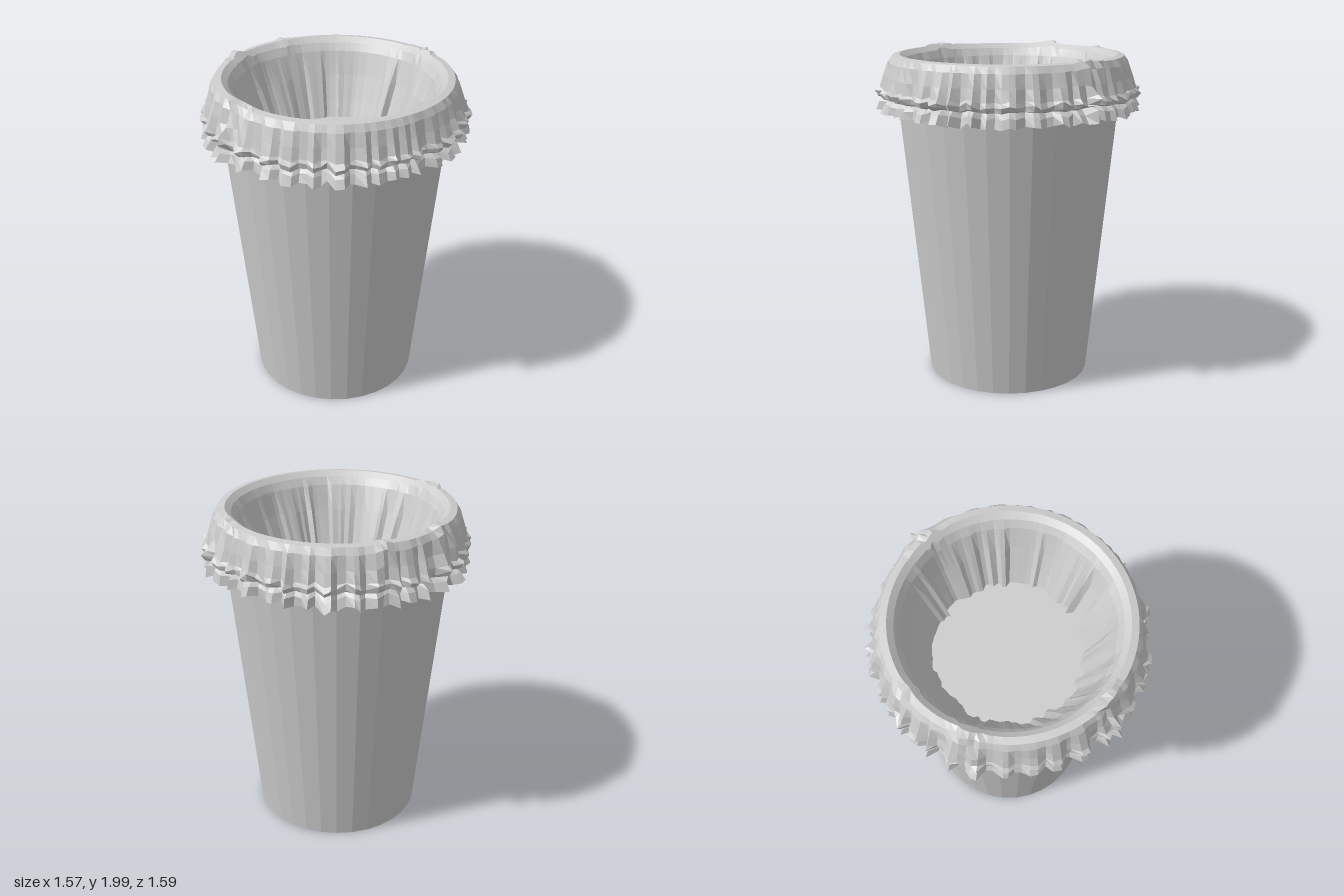
import * as THREE from 'three';

const COLS = 120;

// Small seeded generator for the irregular folds
function seeded(seed) {
  let s = seed;
  return () => {
    s = (s * 16807) % 2147483647;
    return s / 2147483647;
  };
}

// Liner cross-section: radius, height, ruffle size, tuck size (inner pleats), height jitter
const PROFILE = [
  [0.430, 1.51, 0, 0.034, 0],
  [0.475, 1.62, 0, 0.036, 0],
  [0.530, 1.76, 0, 0.030, 0],
  [0.582, 1.90, 0, 0.008, 0],
  [0.610, 1.945, 0, 0, 0],
  [0.645, 1.974, 0, 0, 0],
  [0.685, 1.968, 0, 0, 0],
  [0.708, 1.93, 0.005, 0, 0],
  [0.728, 1.85, 0.013, 0, 0.003],
  [0.745, 1.785, 0.018, 0, 0.012],
  [0.762, 1.765, 0.024, 0, 0.025],
  [0.750, 1.735, 0.022, 0, 0.015],
  [0.715, 1.725, 0.014, 0, 0.008],
  [0.740, 1.700, 0.022, 0, 0.014],
  [0.757, 1.650, 0.028, 0, 0.022],
  [0.705, 1.670, 0.014, 0, 0.010],
  [0.668, 1.72, 0, 0, 0],
];

// Bunched spots on the rim: angle from +x towards +z, half-width
const BUNCHES = [[2.40, 0.16], [-0.66, 0.17], [-2.70, 0.15], [-2.12, 0.07]];

function bunchAt(angle) {
  let sum = 0;
  for (const [centre, width] of BUNCHES) {
    const d = Math.atan2(Math.sin(angle - centre), Math.cos(angle - centre));
    sum += Math.exp(-((d / width) ** 2));
  }
  return sum;
}

function linerGeometry() {
  const rand = seeded(4127);
  // Ruffles two to four columns wide, with an inward tuck now and then
  const columns = [];
  let left = 0;
  let tuck = 0;
  let out = false;
  let size = 1;
  for (let i = 0; i < COLS; i++) {
    if (left === 0) {
      out = !out;
      left = rand() < 0.45 ? 2 : 1;
      size = 0.5 + 0.7 * rand();
      tuck = rand() < 0.45 ? 0.5 + 0.7 * rand() : 0.3 * rand();
    }
    left--;
    columns.push({
      ruffle: out ? size : -size,
      tuck,
      lift: rand() - 0.5,
      angle: ((i + 0.5 * (rand() - 0.5)) / COLS) * Math.PI * 2,
    });
  }

  const positions = [];
  const index = [];
  PROFILE.forEach(([r, y, ruffle, tuckSize, jitter], row) => {
    columns.forEach((c, i) => {
      const bunch = row > 3 ? bunchAt(c.angle) : 0;
      const crumple = bunch * (rand() - 0.5);
      const radius = r + ruffle * (c.ruffle + 0.5 * (rand() - 0.5))
        - tuckSize * (c.tuck - 0.35) + 0.03 * crumple + 1.2 * ruffle * bunch;
      const height = Math.min(2, y + jitter * (c.lift + 0.5 * (rand() - 0.5)) * 1.4
        + 0.012 * bunch + 0.025 * crumple);
      positions.push(Math.cos(c.angle) * radius, height, Math.sin(c.angle) * radius);
      if (row === PROFILE.length - 1) return;
      const a = row * COLS + i;
      const b = row * COLS + ((i + 1) % COLS);
      index.push(a, a + COLS, b, b, a + COLS, b + COLS);
    });
  });

  const geometry = new THREE.BufferGeometry();
  geometry.setAttribute('position', new THREE.Float32BufferAttribute(positions, 3));
  geometry.setIndex(index);
  geometry.computeVertexNormals();
  return geometry;
}

export function createModel() {
  const group = new THREE.Group();
  const material = new THREE.MeshStandardMaterial({
    color: 0xcccccc, flatShading: true, side: THREE.DoubleSide,
  });
  const add = (name, geometry) => {
    const mesh = new THREE.Mesh(geometry, material);
    mesh.name = name;
    mesh.position.set(-0.006, 0, -0.005);
    group.add(mesh);
  };

  // Tapered bin wall and base
  const wall = new THREE.CylinderGeometry(0.685, 0.497, 1.94, 32, 1, true);
  add('binWall', wall.translate(0, 0.97, 0));
  add('binBase', new THREE.CircleGeometry(0.497, 32).rotateX(Math.PI / 2));

  // Bag: pleated inside, rolled rim, ruffled double hem
  add('linerBag', linerGeometry());
  add('linerFloor', new THREE.CircleGeometry(0.445, 48).rotateX(-Math.PI / 2).translate(0, 1.515, 0));

  return group;
}
